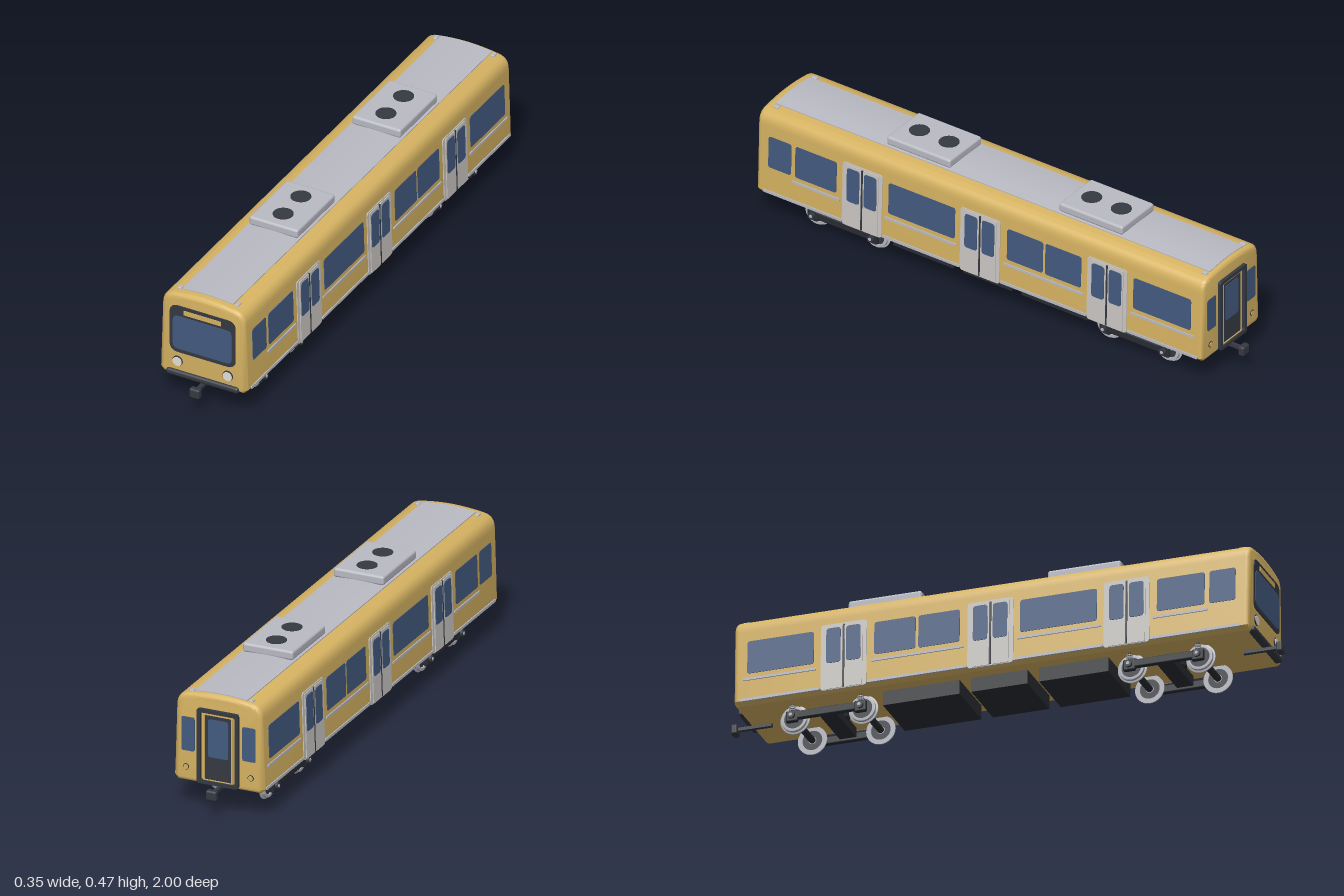
import * as THREE from 'three';
import { toCreasedNormals } from 'three/addons/utils/BufferGeometryUtils.js';
import { RoundedBoxGeometry } from 'three/addons/geometries/RoundedBoxGeometry.js';

const material = (name, color) => Object.assign(new THREE.MeshStandardMaterial({ color }), { name });
const yellow = material('yellow paint', 0xd6b362);
const grey = material('roof grey', 0xb9bac3);
const silver = material('door silver', 0xcac7c4);
const glass = material('blue glass', 0x435a80);
const dark = material('charcoal', 0x353941);
const black = material('underframe black', 0x282c32);
const white = material('lamp white', 0xe4e0d8);

function add(parent, name, geometry, mat, x = 0, y = 0, z = 0) {
  const mesh = new THREE.Mesh(geometry, mat);
  mesh.name = name;
  mesh.position.set(x, y, z);
  parent.add(mesh);
  return mesh;
}

function addGroup(parent, name) {
  const group = new THREE.Group();
  group.name = name;
  parent.add(group);
  return group;
}

const box = (w, h, d) => new THREE.BoxGeometry(w, h, d);
const rod = (r, length, sides = 20) => new THREE.CylinderGeometry(r, r, length, sides).rotateZ(Math.PI / 2);
const disc = (r, depth) => new THREE.CylinderGeometry(r, r, depth, 28).rotateX(Math.PI / 2);

// Rounded rectangle, centred on the origin
function roundedRect(w, h, r, Type = THREE.Shape) {
  const s = new Type(), a = w / 2, b = h / 2;
  s.moveTo(-a + r, -b);
  s.lineTo(a - r, -b).quadraticCurveTo(a, -b, a, -b + r);
  s.lineTo(a, b - r).quadraticCurveTo(a, b, a - r, b);
  s.lineTo(-a + r, b).quadraticCurveTo(-a, b, -a, b - r);
  s.lineTo(-a, -b + r).quadraticCurveTo(-a, -b, -a + r, -b);
  return s;
}

// Thin plate standing on the z = 0 plane, with an optional border-only version
function plate(w, h, r, depth, border = 0) {
  const s = roundedRect(w, h, r);
  if (border) s.holes.push(roundedRect(w - 2 * border, h - 2 * border, r * 0.6, THREE.Path));
  return new THREE.ExtrudeGeometry(s, { depth, bevelEnabled: false, curveSegments: 6 });
}

const END = 0.935, BASE = 0.115, LEAN = 0.03;
const roofY = x => 0.437 - 0.7 * x * x;

// Body shell: one cross-section swept along the car with rounded ends
function bodyGeometry() {
  const half = [[0.155, 0.1], [0.17, BASE], [0.1622, 0.375]];
  const curve = new THREE.CubicBezierCurve(new THREE.Vector2(0.1622, 0.375), new THREE.Vector2(0.161, 0.405),
    new THREE.Vector2(0.15, 0.422), new THREE.Vector2(0.12, roofY(0.12)));
  curve.getPoints(8).slice(1).forEach(p => half.push([p.x, p.y]));
  for (const x of [0.09, 0.06, 0.03]) half.push([x, roofY(x)]);
  const points = [...half, [0, roofY(0)], ...half.map(([x, y]) => [-x, y]).reverse()];
  const bevel = 0.017;
  const geometry = new THREE.ExtrudeGeometry(new THREE.Shape(points.map(p => new THREE.Vector2(...p))), {
    depth: 2 * (END - bevel), bevelThickness: bevel, bevelSize: bevel, bevelOffset: -bevel, bevelSegments: 5,
  });
  return toCreasedNormals(geometry.translate(0, 0, -END + bevel), 0.6);
}

// Curved panel lying on the roof crown
function roofPanelGeometry() {
  const xs = [-0.1, -0.066, -0.033, 0, 0.033, 0.066, 0.1];
  const points = xs.map(x => new THREE.Vector2(x, roofY(x) - 0.004));
  xs.reverse().forEach(x => points.push(new THREE.Vector2(x, roofY(x) + 0.003)));
  return toCreasedNormals(new THREE.ExtrudeGeometry(new THREE.Shape(points), { depth: 1.82, bevelEnabled: false })
    .translate(0, 0, -0.918), 0.6);
}

// Windows, doors and rails of one side, on a plane that leans in slightly
function addSide(car, s) {
  const side = addGroup(car, s > 0 ? 'leftSide' : 'rightSide');
  side.position.set(0.17 * s, BASE, 0);
  side.rotation.z = s * LEAN;
  const panel = (name, z0, z1, y0, y1, r, mat, lift, depth = 0.006) => {
    const mesh = add(side, name, plate(Math.abs(z0 - z1), y1 - y0, r, depth), mat,
      s * (lift - depth), (y0 + y1) / 2 - BASE, (z0 + z1) / 2);
    mesh.rotation.y = s * Math.PI / 2;
  };
  const windows = [[0.885, 0.79], [0.773, 0.6], [0.382, 0.104], [-0.115, -0.265], [-0.275, -0.425], [-0.644, -0.885]];
  for (const [a, b] of windows) panel('sideWindow', a, b, 0.216, 0.338, 0.01, glass, 0.002);
  for (const z of [0.491, -0.003, -0.535]) {
    panel('doorSurround', z + 0.083, z - 0.083, 0.106, 0.355, 0.012, silver, 0.003);
    panel('doorSeam', z + 0.003, z - 0.003, 0.11, 0.348, 0.001, dark, 0.0065, 0.004);
    for (const d of [0.036, -0.036]) {
      panel('doorLeaf', z + d + 0.032, z + d - 0.032, 0.108, 0.349, 0.006, silver, 0.006);
      panel('doorWindow', z + d + 0.026, z + d - 0.026, 0.206, 0.338, 0.012, glass, 0.008, 0.004);
    }
  }
  for (const [a, b] of [[0.785, 0.585], [0.397, 0.095], [-0.1, -0.435], [-0.635, -0.9]])
    panel('waistRail', a, b, 0.19, 0.199, 0.003, grey, 0.004);
  for (const [a, b] of [[0.905, 0.576], [0.406, 0.082], [-0.088, -0.45], [-0.62, -0.915]])
    panel('sillRail', a, b, 0.112, 0.122, 0.003, grey, 0.004);
}

function addFront(car) {
  const front = addGroup(car, 'frontEnd');
  add(front, 'windscreenSurround', plate(0.256, 0.187, 0.032, 0.008), dark, 0, 0.2915, END - 0.004);
  add(front, 'windscreen', plate(0.23, 0.132, 0.022, 0.004), glass, 0, 0.279, END + 0.002);
  add(front, 'destinationPanel', plate(0.146, 0.018, 0.002, 0.004), yellow, 0, 0.364, END + 0.002);
  add(front, 'bumper', new RoundedBoxGeometry(0.282, 0.024, 0.03, 3, 0.01), dark, 0, 0.112, END - 0.004);
  for (const s of [1, -1]) {
    add(front, 'headlightRing', disc(0.0195, 0.008), dark, s * 0.098, 0.16, END);
    add(front, 'headlight', disc(0.0175, 0.012), white, s * 0.098, 0.159, END);
  }
}

// The rear end is built facing +z, then turned round
function addRear(car) {
  const rear = addGroup(car, 'rearEnd');
  rear.rotation.y = Math.PI;
  add(rear, 'gangwayFrame', plate(0.156, 0.276, 0.01, 0.014, 0.013), dark, 0, 0.245, END - 0.002);
  add(rear, 'rearDoorTrim', plate(0.112, 0.25, 0.006, 0.008, 0.006), yellow, 0, 0.242, END - 0.002);
  add(rear, 'rearDoor', plate(0.1, 0.24, 0.006, 0.005), dark, 0, 0.241, END - 0.002);
  add(rear, 'rearDoorWindow', plate(0.076, 0.14, 0.01, 0.003), glass, 0, 0.277, END + 0.002);
  for (const s of [1, -1]) {
    add(rear, 'rearWindow', plate(0.05, 0.125, 0.008, 0.005), glass, s * 0.115, 0.277, END - 0.003);
    add(rear, 'tailLightRing', disc(0.011, 0.006), dark, s * 0.122, 0.155, END);
    add(rear, 'tailLight', disc(0.009, 0.01), yellow, s * 0.122, 0.155, END);
  }
}

// Wheel: flange on the inner side, open rim and a dark web
function addWheel(bogie, s, z) {
  const rim = [[0.036, -0.008], [0.053, -0.008], [0.053, -0.004], [0.047, -0.002], [0.046, 0.008], [0.036, 0.008], [0.036, -0.008]];
  const lathe = new THREE.LatheGeometry(rim.map(([r, x]) => new THREE.Vector2(r, x)), 32);
  const geometry = toCreasedNormals(lathe.rotateZ(-Math.PI / 2), 0.5);
  const wheel = add(bogie, 'wheelRim', geometry, grey, s * 0.093, 0.053, z);
  if (s < 0) wheel.rotation.y = Math.PI;
  add(bogie, 'wheelWeb', rod(0.038, 0.006, 28), dark, s * 0.092, 0.053, z);
  add(bogie, 'wheelHub', rod(0.014, 0.016), grey, s * 0.093, 0.053, z);
}

function addBogie(car, zc) {
  const bogie = addGroup(car, 'bogie');
  bogie.position.z = zc;
  add(bogie, 'transom', box(0.2, 0.035, 0.06), black, 0, 0.066, 0);
  add(bogie, 'pivot', new THREE.CylinderGeometry(0.04, 0.04, 0.03, 20), black, 0, 0.09, 0);
  for (const s of [1, -1])
    add(bogie, 'sideFrame', new RoundedBoxGeometry(0.018, 0.03, 0.23, 2, 0.006), black, s * 0.116, 0.056, 0);
  for (const z of [0.124, -0.124]) {
    add(bogie, 'axle', rod(0.012, 0.22), black, 0, 0.053, z);
    for (const s of [1, -1]) {
      addWheel(bogie, s, z);
      add(bogie, 'axleBox', new RoundedBoxGeometry(0.018, 0.042, 0.044, 2, 0.006), black, s * 0.117, 0.053, z);
      add(bogie, 'axleCap', rod(0.013, 0.014), dark, s * 0.128, 0.055, z);
      add(bogie, 'axleCapCentre', rod(0.006, 0.004), grey, s * 0.135, 0.055, z);
      for (let i = 0; i < 3; i++)
        add(bogie, 'springCoil', new THREE.TorusGeometry(0.009, 0.0022, 6, 16).rotateX(Math.PI / 2), grey, s * 0.117, 0.077 + i * 0.006, z);
      add(bogie, 'springCore', new THREE.CylinderGeometry(0.005, 0.005, 0.03, 10), dark, s * 0.117, 0.086, z);
    }
  }
}

export function createModel() {
  const car = new THREE.Group();
  car.name = 'railCar';
  add(car, 'bodyShell', bodyGeometry(), yellow);
  add(car, 'roofPanel', roofPanelGeometry(), grey);
  for (const x of [0.112, -0.112]) for (const z of [0.89, -0.905])
    add(car, 'roofCornerFitting', new RoundedBoxGeometry(0.016, 0.01, 0.024, 2, 0.004), grey, x, roofY(x), z);

  // Roof units with a pair of fans each
  for (const z of [0.309, -0.413]) {
    add(car, 'roofUnit', new RoundedBoxGeometry(0.19, 0.034, 0.266, 3, 0.009), grey, 0, 0.451, z);
    for (const d of [0.062, -0.062])
      add(car, 'roofFan', new THREE.CylinderGeometry(0.036, 0.036, 0.006, 32), dark, 0, 0.467, z + d);
  }

  addSide(car, 1);
  addSide(car, -1);
  addFront(car);
  addRear(car);

  // Equipment boxes under the floor
  for (const [a, b] of [[0.404, 0.152], [0.11, -0.094], [-0.136, -0.414]])
    add(car, 'underfloorBox', box(0.22, 0.056, a - b), black, 0, 0.076, (a + b) / 2);

  addBogie(car, 0.607);
  addBogie(car, -0.616);

  // Couplers at both ends
  for (const s of [1, -1]) {
    add(car, 'couplerBar', box(0.014, 0.012, 0.13), dark, 0, 0.092, s * 0.92);
    add(car, 'couplerHead', new RoundedBoxGeometry(0.04, 0.037, 0.024, 2, 0.007), dark, 0, 0.09, s * 0.988);
  }
  return car;
}
